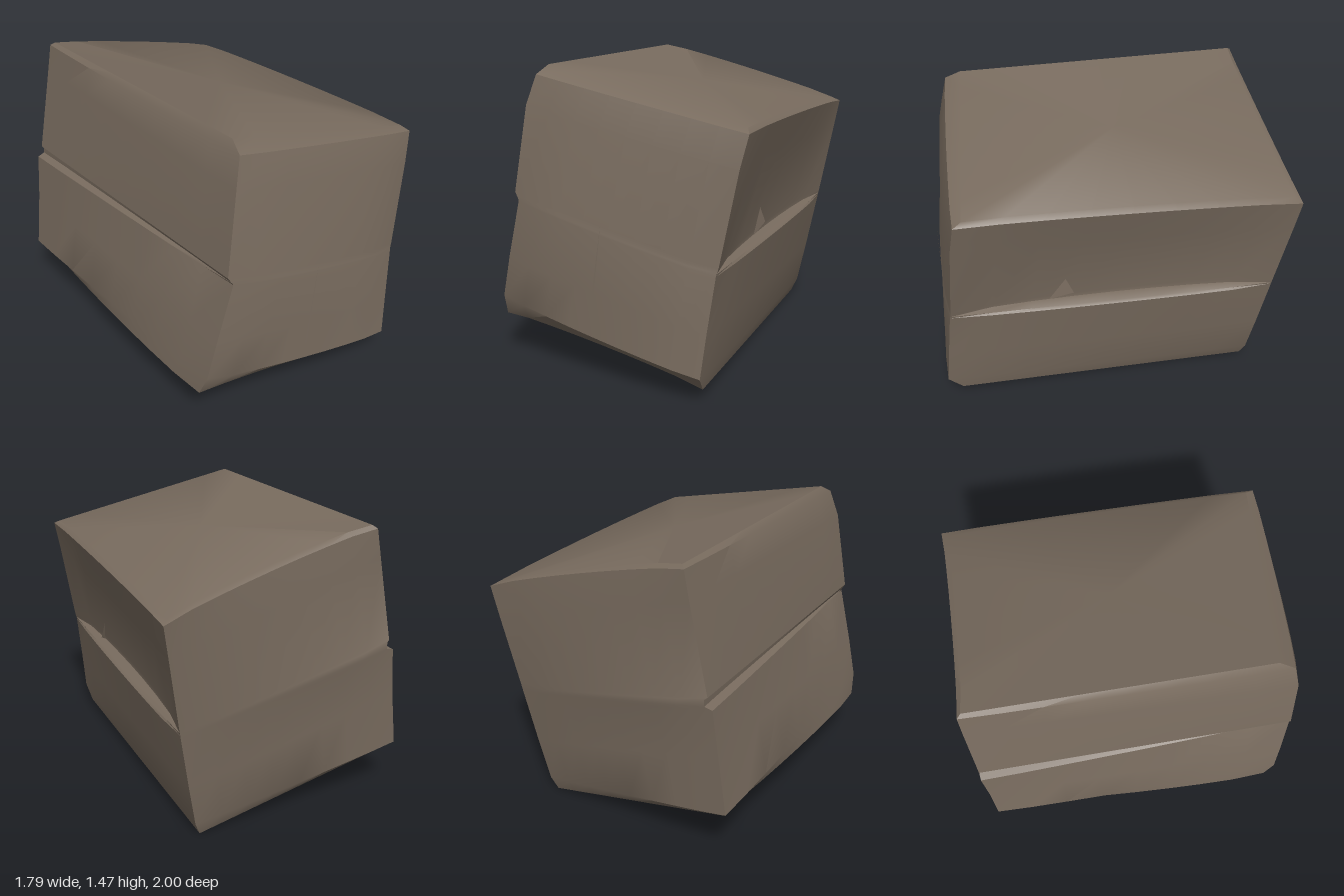
import * as THREE from 'three';
import { toCreasedNormals } from 'three/addons/utils/BufferGeometryUtils.js';

// Four corner edges of the boulder, each listed from the foot to the top.
const front = [
  [-0.28, 0.23, 0.96], [-0.25, 0.34, 0.995], [-0.2, 0.55, 0.985], [-0.125, 0.84, 0.966], [-0.13, 0.85, 0.966],
  [-0.14, 0.865, 0.967], [-0.15, 0.88, 0.967], [-0.105, 1.29, 0.915], [-0.08, 1.43, 0.87], [-0.09, 1.47, 0.79]];
const right = [
  [0.75, 0.06, 0.61], [0.79, 0.14, 0.67], [0.8, 0.35, 0.64], [0.815, 0.61, 0.6], [0.816, 0.62, 0.597],
  [0.818, 0.63, 0.594], [0.822, 0.65, 0.59], [0.875, 1.08, 0.525], [0.895, 1.23, 0.49], [0.86, 1.25, 0.46]];
const back = [
  [0.12, 0, -0.79], [0.14, 0.07, -0.82], [0.17, 0.3, -0.86], [0.205, 0.59, -0.907], [0.206, 0.6, -0.908],
  [0.207, 0.61, -0.91], [0.21, 0.63, -0.913], [0.25, 1.0, -0.975], [0.268, 1.16, -1.0], [0.25, 1.18, -0.96]];
const left = [
  [-0.83, 0.24, -0.42], [-0.9, 0.28, -0.43], [-0.865, 0.58, -0.45], [-0.845, 0.815, -0.47], [-0.81, 0.825, -0.49],
  [-0.81, 0.86, -0.49], [-0.82, 0.87, -0.48], [-0.74, 1.3, -0.52], [-0.715, 1.44, -0.53], [-0.69, 1.455, -0.52]];

// Bulge (+) or hollow (-) in the middle of each side per level,
// and how far the foot and the top rim are raised there
const sides = [
  { from: front, to: right, foot: 0.035, rim: 0, bulge: [0.02, 0.03, 0.035, 0.035, 0.035, 0.035, 0.035, 0.025, 0.01, 0] },
  { from: right, to: back, foot: 0, rim: 0.015, bulge: [0, 0.005, 0.01, 0.015, 0, -0.055, -0.06, -0.02, 0, 0] },
  { from: back, to: left, foot: 0, rim: 0.02, bulge: [0, 0.01, 0.015, 0.015, 0.015, 0.015, 0.015, 0, -0.015, -0.02] },
  { from: left, to: front, foot: 0, rim: 0, bulge: [0.03, 0.01, 0.005, 0.005, -0.005, -0.005, 0, 0.005, 0.005, 0] },
];
const STEPS = 8;
const RIM = 8; // first level of the top rim

// One closed loop of points at the given level
function ring(level) {
  const points = [];
  for (const { from, to, foot, rim, bulge } of sides) {
    const a = new THREE.Vector3(...from[level]);
    const b = new THREE.Vector3(...to[level]);
    const out = new THREE.Vector3(a.z - b.z, 0, b.x - a.x).normalize();
    const lift = level === 0 ? foot : level >= RIM ? rim : 0;
    for (let s = 0; s < STEPS; s++) {
      const u = s / STEPS;
      const swell = Math.sqrt(Math.sin(Math.PI * u));
      const p = a.clone().lerp(b, u).addScaledVector(out, bulge[level] * swell);
      p.y += lift * swell;
      points.push(p);
    }
  }
  return points;
}

function boulderGeometry() {
  const rings = front.map((_, level) => ring(level));
  const n = rings[0].length;
  const tops = rings.length - 1;
  const positions = rings.flat().flatMap((p) => p.toArray());
  const index = [];
  for (let j = 0; j < tops; j++) {
    for (let i = 0; i < n; i++) {
      const a = j * n + i, b = j * n + (i + 1) % n;
      index.push(a, b, b + n, a, b + n, a + n);
    }
  }
  // Underside and top close to a point at their middle
  const middle = (loop) => loop.reduce((m, p) => m.add(p), new THREE.Vector3()).divideScalar(n);
  positions.push(...middle(rings[0]).toArray(), ...middle(rings[tops]).toArray());
  const low = rings.length * n, high = low + 1;
  for (let i = 0; i < n; i++) {
    const k = (i + 1) % n;
    index.push(low, k, i, high, tops * n + i, tops * n + k);
  }
  const geometry = new THREE.BufferGeometry();
  geometry.setAttribute('position', new THREE.Float32BufferAttribute(positions, 3));
  geometry.setIndex(index);
  return toCreasedNormals(geometry, 0.6);
}

// A thin splinter of stone lying on a face
function sliver(name, material, corners) {
  const geometry = new THREE.BufferGeometry();
  geometry.setAttribute('position', new THREE.Float32BufferAttribute(corners.flat(), 3));
  geometry.computeVertexNormals();
  const mesh = new THREE.Mesh(geometry, material);
  mesh.name = name;
  return mesh;
}

export function createModel() {
  const group = new THREE.Group();
  group.name = 'boulder';
  const stone = new THREE.MeshStandardMaterial({ color: 0x786b5e, side: THREE.DoubleSide });
  stone.name = 'stone';

  const body = new THREE.Mesh(boulderGeometry(), stone);
  body.name = 'rockBody';
  group.add(body);

  // Narrow splinter on the front and a chip above the side ledge
  group.add(
    sliver('frontSplinter', stone, [[0.27, 0.34, 0.875], [0.285, 0.34, 0.87], [0.325, 0.78, 0.84]]),
    sliver('sideChip', stone, [[0.63, 0.66, 0.15], [0.6, 0.7, 0.03], [0.6, 0.78, 0.07]]),
  );
  return group;
}
